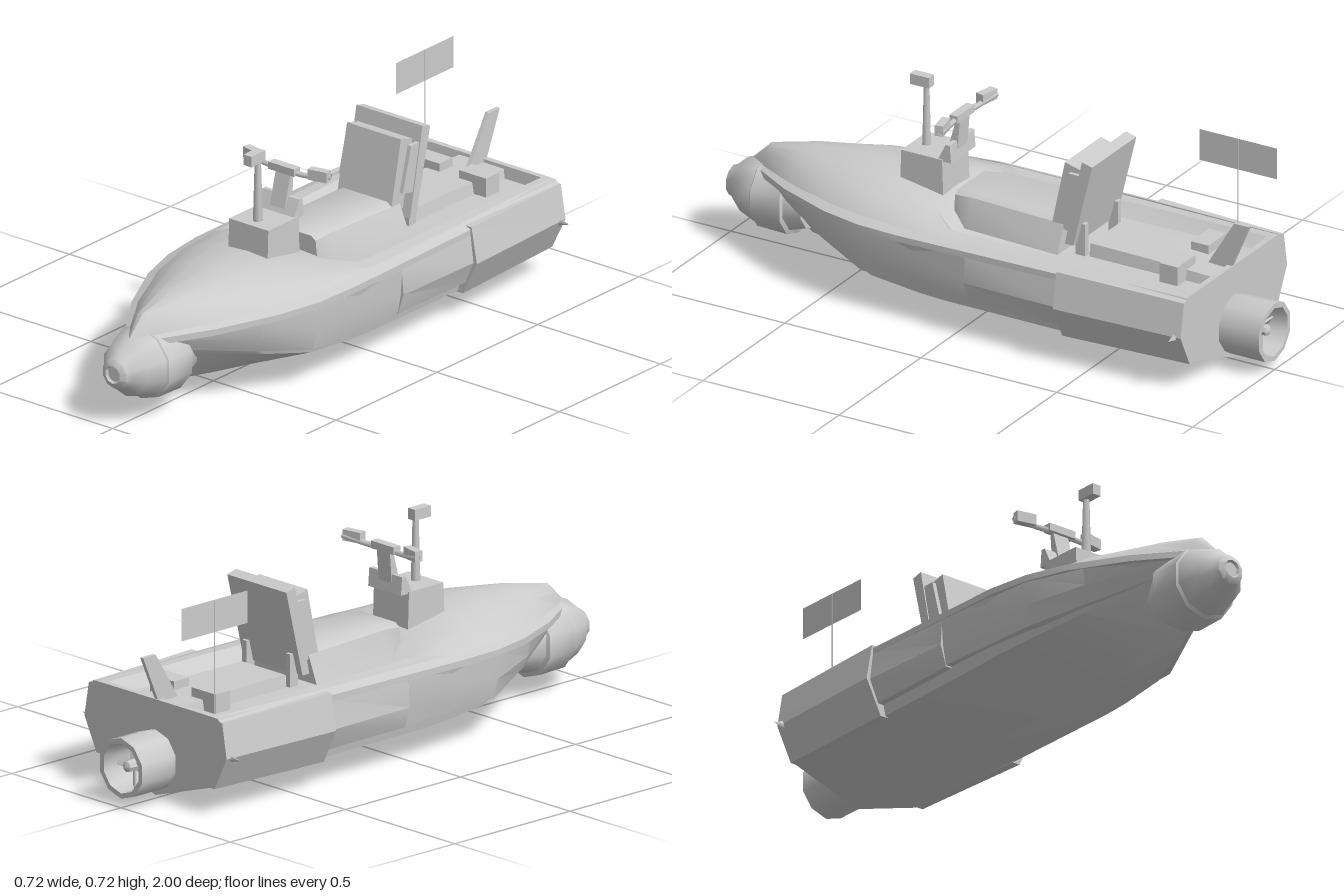
import * as THREE from 'three';
import { toCreasedNormals } from 'three/addons/utils/BufferGeometryUtils.js';

const grey = new THREE.MeshStandardMaterial({ color: 0xcccccc, side: THREE.DoubleSide });

function add(parent, name, geo, x = 0, y = 0, z = 0) {
  const mesh = new THREE.Mesh(geo, grey);
  mesh.name = name;
  mesh.position.set(x, y, z);
  parent.add(mesh);
  return mesh;
}

const box = (w, h, d) => new THREE.BoxGeometry(w, h, d);

// Skin over closed rings (counterclockwise seen from +z), ordered back to front, with end caps
function loft(rings, crease = 0.6) {
  const pos = [], n = rings[0].length;
  const tri = (a, b, c) => pos.push(...a, ...b, ...c);
  const centre = r => [0, 1, 2].map(k => r.reduce((s, p) => s + p[k], 0) / n);
  for (let i = 0; i < rings.length - 1; i++) {
    for (let j = 0; j < n; j++) {
      const k = (j + 1) % n, a = rings[i], b = rings[i + 1];
      tri(a[j], a[k], b[k]);
      tri(a[j], b[k], b[j]);
    }
  }
  const first = rings[0], last = rings[rings.length - 1];
  const c0 = centre(first), c1 = centre(last);
  for (let j = 0; j < n; j++) {
    const k = (j + 1) % n;
    tri(c0, first[k], first[j]);
    tri(c1, last[j], last[k]);
  }
  const geo = new THREE.BufferGeometry();
  geo.setAttribute('position', new THREE.Float32BufferAttribute(pos, 3));
  geo.computeVertexNormals();
  return toCreasedNormals(geo, crease);
}

// Same rings on the left (+1) or right (-1) side
const sided = (rings, s) => s > 0 ? rings : rings.map(r => r.map(([x, y, z]) => [-x, y, z]).reverse());

// Side outline of [z, y] points, given a width across x
function sidePlate(points, width) {
  const shape = new THREE.Shape(points.map(p => new THREE.Vector2(...p)));
  const geo = new THREE.ExtrudeGeometry(shape, { depth: width, bevelEnabled: false });
  return geo.translate(0, 0, -width / 2).rotateY(-Math.PI / 2);
}

// Profile of [radius, z] points turned around the z axis
function turned(points, sides) {
  const geo = new THREE.LatheGeometry(points.map(p => new THREE.Vector2(...p)), sides);
  return toCreasedNormals(geo.rotateX(Math.PI / 2).toNonIndexed(), 0.75);
}

export function createModel() {
  const craft = new THREE.Group();
  craft.name = 'watercraft';

  // Hull and deck: z, keel y, then chine, gunwale, outer rim, inner rim, floor edge (x, y), centre y
  const stations = [
    [-0.85, 0.02, 0.25, 0.10, 0.30, 0.30, 0.285, 0.335, 0.24, 0.336, 0.21, 0.336, 0.336],
    [-0.83, 0.02, 0.25, 0.10, 0.30, 0.30, 0.285, 0.335, 0.24, 0.336, 0.21, 0.336, 0.336],
    [-0.825, 0.02, 0.25, 0.10, 0.30, 0.30, 0.285, 0.335, 0.24, 0.335, 0.21, 0.295, 0.295],
    [-0.40, 0.015, 0.265, 0.10, 0.31, 0.30, 0.285, 0.33, 0.24, 0.335, 0.20, 0.295, 0.295],
    [0.06, 0.01, 0.27, 0.105, 0.315, 0.30, 0.285, 0.33, 0.23, 0.335, 0.19, 0.30, 0.30],
    [0.15, 0.01, 0.27, 0.11, 0.315, 0.30, 0.285, 0.33, 0.23, 0.343, 0.16, 0.357, 0.365],
    [0.33, 0.01, 0.255, 0.12, 0.30, 0.30, 0.27, 0.33, 0.20, 0.362, 0.12, 0.39, 0.398],
    [0.50, 0.04, 0.20, 0.155, 0.255, 0.295, 0.22, 0.33, 0.16, 0.365, 0.09, 0.393, 0.403],
    [0.70, 0.08, 0.11, 0.20, 0.16, 0.285, 0.135, 0.32, 0.09, 0.355, 0.05, 0.375, 0.386],
    [0.85, 0.20, 0.04, 0.25, 0.06, 0.28, 0.05, 0.30, 0.035, 0.33, 0.02, 0.348, 0.355],
    [0.92, 0.27, 0.003, 0.272, 0.005, 0.275, 0.005, 0.28, 0.004, 0.283, 0.002, 0.285, 0.287],
  ];
  const hullRings = stations.map(([z, keel, ...p]) => {
    const half = [0, 2, 4, 6, 8].map(i => [p[i], p[i + 1], z]);
    return [[0, keel, z], ...half, [0, p[10], z], ...half.map(([x, y]) => [-x, y, z]).reverse()];
  });
  add(craft, 'hull', loft(hullRings));

  // Side armour panels: z, bottom x y, middle x y, top x y
  const panels = {
    rearSidePanel: [[-0.85, 0.27, 0.10, 0.325, 0.21, 0.305, 0.325], [-0.39, 0.285, 0.095, 0.342, 0.21, 0.32, 0.33]],
    middleSidePanel: [[-0.40, 0.295, 0.135, 0.328, 0.21, 0.315, 0.31], [-0.05, 0.30, 0.14, 0.322, 0.21, 0.315, 0.305]],
    frontSidePanel: [[-0.05, 0.30, 0.145, 0.312, 0.21, 0.318, 0.30], [0.35, 0.285, 0.145, 0.30, 0.21, 0.302, 0.30],
      [0.55, 0.20, 0.18, 0.23, 0.23, 0.24, 0.29], [0.82, 0.06, 0.24, 0.075, 0.265, 0.085, 0.28]],
  };
  // Rubbing strake along the gunwale: z, x, y
  const strake = [[-0.85, 0.30, 0.315], [-0.4, 0.312, 0.313], [0.2, 0.317, 0.308], [0.35, 0.303, 0.304],
    [0.5, 0.262, 0.299], [0.7, 0.167, 0.289], [0.85, 0.067, 0.28]];
  for (const s of [1, -1]) {
    for (const [name, rows] of Object.entries(panels)) {
      const rings = rows.map(([z, bx, by, mx, my, tx, ty]) =>
        [[bx - 0.03, by, z], [bx, by, z], [mx, my, z], [tx, ty, z], [tx - 0.03, ty, z]]);
      add(craft, name, loft(sided(rings, s), 0.4));
    }
    const strakeRings = strake.map(([z, x, y]) =>
      [[x - 0.03, y - 0.015, z], [x + 0.004, y - 0.013, z], [x + 0.004, y + 0.008, z], [x - 0.03, y + 0.022, z]]);
    add(craft, 'gunwaleStrake', loft(sided(strakeRings, s)));

    // Small stern spike and deck block
    const spike = add(craft, 'sternSpike', new THREE.ConeGeometry(0.02, 0.06, 5), s * 0.33, 0.208, -0.825);
    spike.rotation.z = -s * Math.PI / 2;
    spike.scale.z = 0.7;
    add(craft, 'sternBlock', box(0.11, 0.07, 0.065), s * 0.095, 0.325, -0.70);
  }

  // Bulbous nose with stepped tip and collar
  add(craft, 'nose', turned([[0, 0.69], [0.095, 0.69], [0.118, 0.76], [0.115, 0.87], [0.092, 0.935],
    [0.056, 0.975], [0.05, 0.99], [0.03, 1.0], [0.025, 0.992], [0, 0.992]], 10), 0, 0.193, 0);
  add(craft, 'noseCollar', turned([[0.10, 0.74], [0.125, 0.75], [0.122, 0.86], [0.11, 0.87]], 10), 0, 0.19, 0);

  // Stern jet with hub and blades
  const jet = new THREE.Group();
  jet.name = 'sternJet';
  jet.position.y = 0.14;
  craft.add(jet);
  add(jet, 'nozzle', turned([[0, -0.88], [0.07, -0.88], [0.083, -1], [0.1, -1], [0.1, -0.87], [0.095, -0.84]], 10));
  add(jet, 'hub', turned([[0, -0.985], [0.018, -0.975], [0.025, -0.88]], 8));
  for (let i = 0; i < 4; i++) {
    const blade = add(jet, 'blade', box(0.03, 0.065, 0.006).rotateY(0.6).translate(0, 0.045, 0), 0, 0, -0.94);
    blade.rotation.z = i * Math.PI / 2;
  }

  // Steering console with lamp post
  add(craft, 'console', sidePlate([[0.17, 0.34], [0.33, 0.36], [0.325, 0.487], [0.175, 0.487]], 0.16));
  add(craft, 'lampPost', new THREE.CylinderGeometry(0.01, 0.016, 0.22, 6), 0, 0.59, 0.28);
  add(craft, 'lamp', box(0.032, 0.036, 0.07), 0, 0.707, 0.297);

  // Instrument panel and handlebar
  add(craft, 'instrumentPanel', sidePlate([[0.145, 0.48], [0.195, 0.48], [0.165, 0.54], [0.15, 0.54]], 0.15));
  add(craft, 'steeringColumn', sidePlate([[0.15, 0.48], [0.19, 0.48], [0.155, 0.61], [0.14, 0.61]], 0.06));
  add(craft, 'handlebarClamp', box(0.105, 0.025, 0.03), 0, 0.624, 0.15);
  for (const s of [1, -1]) {
    const path = new THREE.CatmullRomCurve3([[0, 0.62, 0.15], [0.08, 0.618, 0.145], [0.17, 0.63, 0.125]]
      .map(([x, y, z]) => new THREE.Vector3(s * x, y, z)));
    add(craft, 'handlebar', new THREE.TubeGeometry(path, 6, 0.01, 6));
    const mirror = add(craft, 'gripGuard', box(0.068, 0.036, 0.028), s * 0.135, 0.633, 0.14);
    mirror.rotation.y = s * 0.2;
  }

  // Seat with flared sides and tilted backrest
  const seatRing = (z, low, high, top) =>
    [[-low, 0.29, z], [low, 0.29, z], [high, top - 0.012, z], [high - 0.02, top, z], [-high + 0.02, top, z], [-high, top - 0.012, z]];
  add(craft, 'seat', loft([seatRing(-0.29, 0.15, 0.11, 0.40), seatRing(0.05, 0.14, 0.105, 0.408),
    seatRing(0.115, 0.11, 0.10, 0.402)]));
  add(craft, 'backCushion', sidePlate([[-0.305, 0.368], [-0.248, 0.385], [-0.295, 0.605], [-0.352, 0.59]], 0.22));
  add(craft, 'backPanel', sidePlate([[-0.34, 0.335], [-0.31, 0.335], [-0.372, 0.633], [-0.41, 0.623]], 0.27));
  for (const s of [1, -1]) {
    add(craft, 'backBolster', sidePlate([[-0.33, 0.42], [-0.28, 0.43], [-0.32, 0.58], [-0.36, 0.58]], 0.014), s * 0.124, 0, 0);
    add(craft, 'backBrace', box(0.02, 0.11, 0.035), s * 0.10, 0.35, -0.352);
  }

  // Rear engine cover
  const coverRing = (z, w, top) => [[-w, 0.28, z], [w, 0.28, z], [w - 0.01, top, z], [-w + 0.01, top, z]];
  add(craft, 'engineCover', loft([coverRing(-0.83, 0.10, 0.325), coverRing(-0.62, 0.105, 0.335), coverRing(-0.38, 0.105, 0.338)]));

  // Stern fin
  add(craft, 'sternFin', sidePlate([[-0.84, 0.32], [-0.755, 0.32], [-0.855, 0.485], [-0.91, 0.485]], 0.014));

  // Flag on a thin mast
  add(craft, 'flagMast', new THREE.CylinderGeometry(0.002, 0.002, 0.385, 5), -0.175, 0.49, -0.76);
  add(craft, 'flag', new THREE.PlaneGeometry(0.285, 0.107).rotateY(Math.PI / 2), -0.175, 0.631, -0.76);

  return craft;
}
